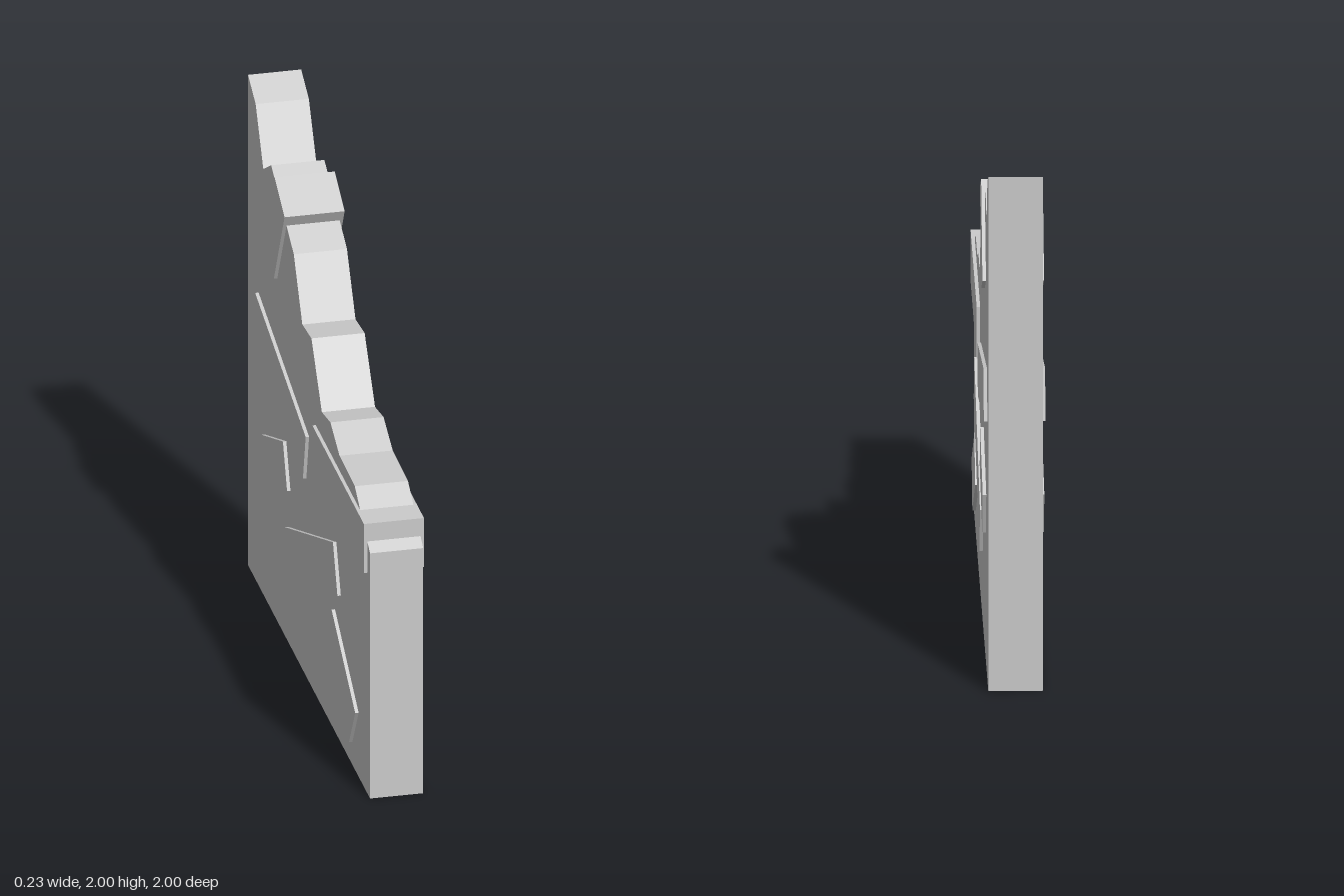
import * as THREE from 'three';

const material = new THREE.MeshStandardMaterial({ color: 0xcccccc, flatShading: true });

export function createModel() {
  const model = new THREE.Group();
  model.name = 'ruinedWall';

  // Broken wall slab: side outline as [z, y], extruded across x
  const wallWidth = 0.2;
  const outline = [
    [1, 0], [1, 1], [0.75, 1.155], [0.5, 1.16], [0.35, 1.225], [0.21, 1.2],
    [0.04, 1.42], [-0.11, 1.405], [-0.25, 1.625], [-0.62, 1.812],
    [-0.75, 1.735], [-0.875, 1.94], [-1, 2], [-1, 0],
  ];
  const shape = new THREE.Shape(outline.map(([z, y]) => new THREE.Vector2(-z, y)));
  const slab = new THREE.ExtrudeGeometry(shape, { depth: wallWidth, bevelEnabled: false });
  slab.translate(0, 0, -wallWidth / 2).rotateY(Math.PI / 2);
  const wall = new THREE.Mesh(slab, material);
  wall.name = 'wall';
  model.add(wall);

  // Bricks run through the slab and stand slightly proud of both faces:
  // [z, y, length, height, tilt in degrees]
  const bricks = [
    [0.533, 1.0, 0.845, 0.2, 0],
    [-0.435, 1.002, 0.85, 0.196, 13.2],
    [0.09, 0.535, 0.85, 0.198, -21.7],
    [-0.513, 0.65, 0.377, 0.183, -21.7],
    [0.568, 0.296, 0.455, 0.197, 31.5],
    [-0.513, 1.608, 0.377, 0.183, -62.3],
  ];
  bricks.forEach(([z, y, length, height, tilt], i) => {
    const brick = new THREE.Mesh(new THREE.BoxGeometry(0.226, height, length), material);
    brick.name = `brick${i + 1}`;
    brick.position.set(0, y, z);
    brick.rotation.x = THREE.MathUtils.degToRad(tilt);
    model.add(brick);
  });

  return model;
}
